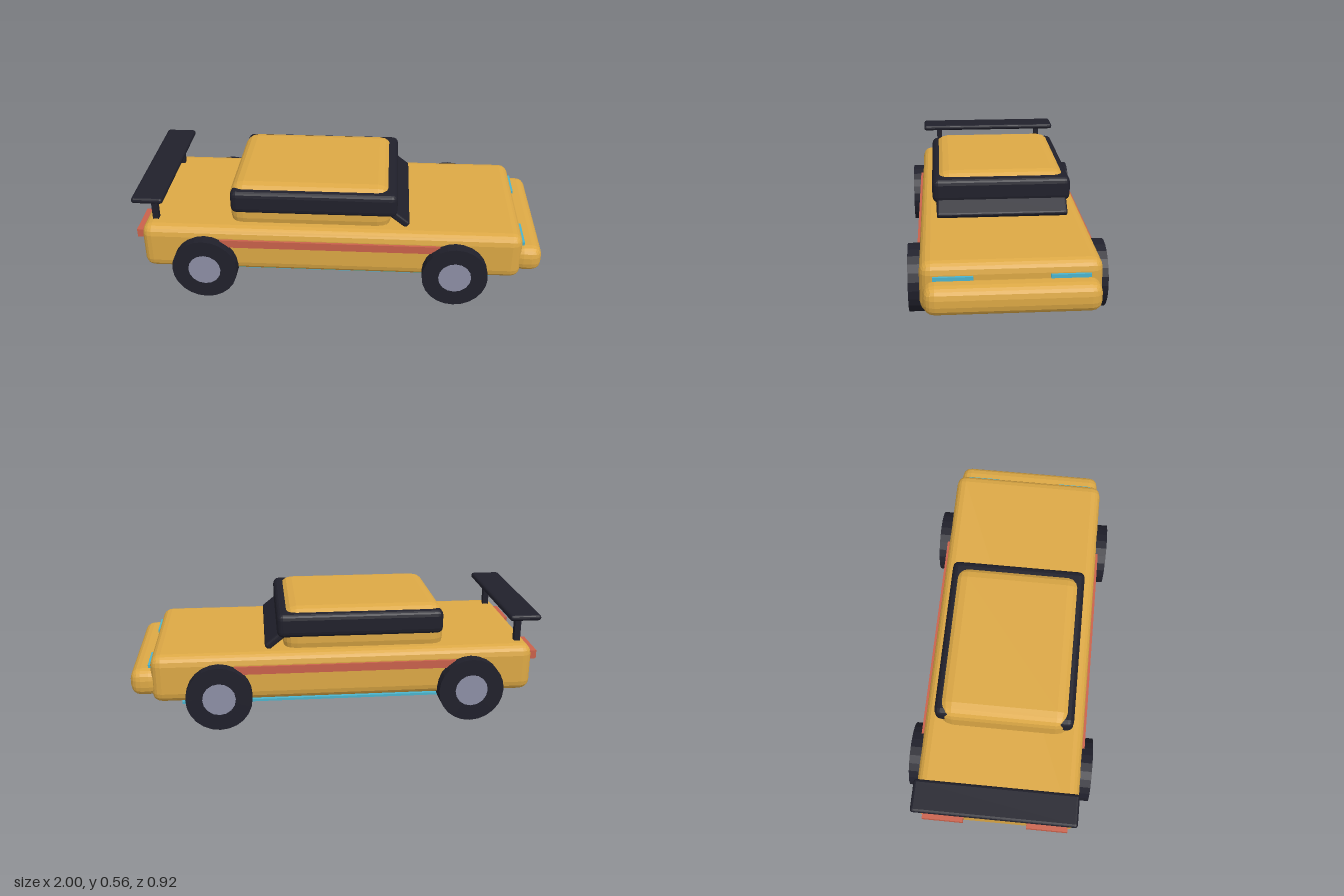
import * as THREE from 'three';
import { RoundedBoxGeometry } from 'three/addons/geometries/RoundedBoxGeometry.js';

const paint = (name, color) => {
  const m = new THREE.MeshStandardMaterial({ color });
  m.name = name;
  return m;
};

export function createModel() {
  const gold = paint('gold paint', 0xdca845);
  const black = paint('black trim', 0x20202b);
  const silver = paint('hub silver', 0x8d8fa6);
  const red = paint('red trim', 0xc9614b);
  const cyan = paint('cyan light', 0x4cb4cd);

  const car = new THREE.Group();
  car.name = 'car';

  const add = (name, geometry, material, x, y, z) => {
    const mesh = new THREE.Mesh(geometry, material);
    mesh.name = name;
    mesh.position.set(x, y, z);
    car.add(mesh);
    return mesh;
  };

  // Box given by its limits along x and y, its depth and centre in z; a radius adds faceted round edges
  const block = (name, material, [x0, x1], [y0, y1], depth, z = 0, radius = 0) => {
    const w = x1 - x0, h = y1 - y0;
    const geometry = radius
      ? new RoundedBoxGeometry(w, h, depth, 2, radius)
      : new THREE.BoxGeometry(w, h, depth);
    if (radius) geometry.computeVertexNormals(); // flat facets
    return add(name, geometry, material, (x0 + x1) / 2, (y0 + y1) / 2, z);
  };

  // Body, nose and cabin
  block('body', gold, [-0.97, 0.9], [0.122, 0.36], 0.8, 0, 0.05);
  block('frontBumper', gold, [0.86, 1], [0.155, 0.287], 0.77, 0, 0.05);
  block('cabin', gold, [-0.54, 0.26], [0.315, 0.557], 0.65, 0, 0.07);

  // Dark glass band and sloping windscreen
  block('windowBand', black, [-0.53, 0.288], [0.415, 0.536], 0.68, 0, 0.03);
  const screen = block('windscreen', black, [0.2, 0.36], [0.396, 0.432], 0.64, 0, 0.012);
  screen.rotation.z = -0.68;

  // Rear wing
  block('wing', black, [-1, -0.845], [0.487, 0.517], 0.785, 0, 0.014);

  // Glowing floor plate
  block('floorLight', cyan, [-0.84, 0.765], [0.074, 0.086], 0.6);

  const tyre = new THREE.CylinderGeometry(0.16, 0.16, 0.135, 24).rotateX(Math.PI / 2).toNonIndexed();
  tyre.computeVertexNormals();
  const hub = new THREE.CylinderGeometry(0.08, 0.08, 0.139, 16).rotateX(Math.PI / 2).toNonIndexed();
  hub.computeVertexNormals();

  // Parts mirrored left and right
  for (const [side, s] of [['right', 1], ['left', -1]]) {
    block(side + 'WingPost', black, [-0.925, -0.895], [0.35, 0.49], 0.03, s * 0.3);
    block(side + 'Stripe', red, [-0.58, 0.5], [0.266, 0.305], 0.02, s * 0.402);
    block(side + 'Headlight', cyan, [0.885, 0.913], [0.289, 0.306], 0.175, s * 0.255);
    block(side + 'TailLight', red, [-1, -0.96], [0.277, 0.32], 0.2, s * 0.255);
    for (const [end, x] of [['Rear', -0.655], ['Front', 0.575]]) {
      add(side + end + 'Tyre', tyre, black, x, 0.16, s * 0.388);
      add(side + end + 'Hub', hub, silver, x, 0.16, s * 0.388);
    }
  }
  return car;
}
